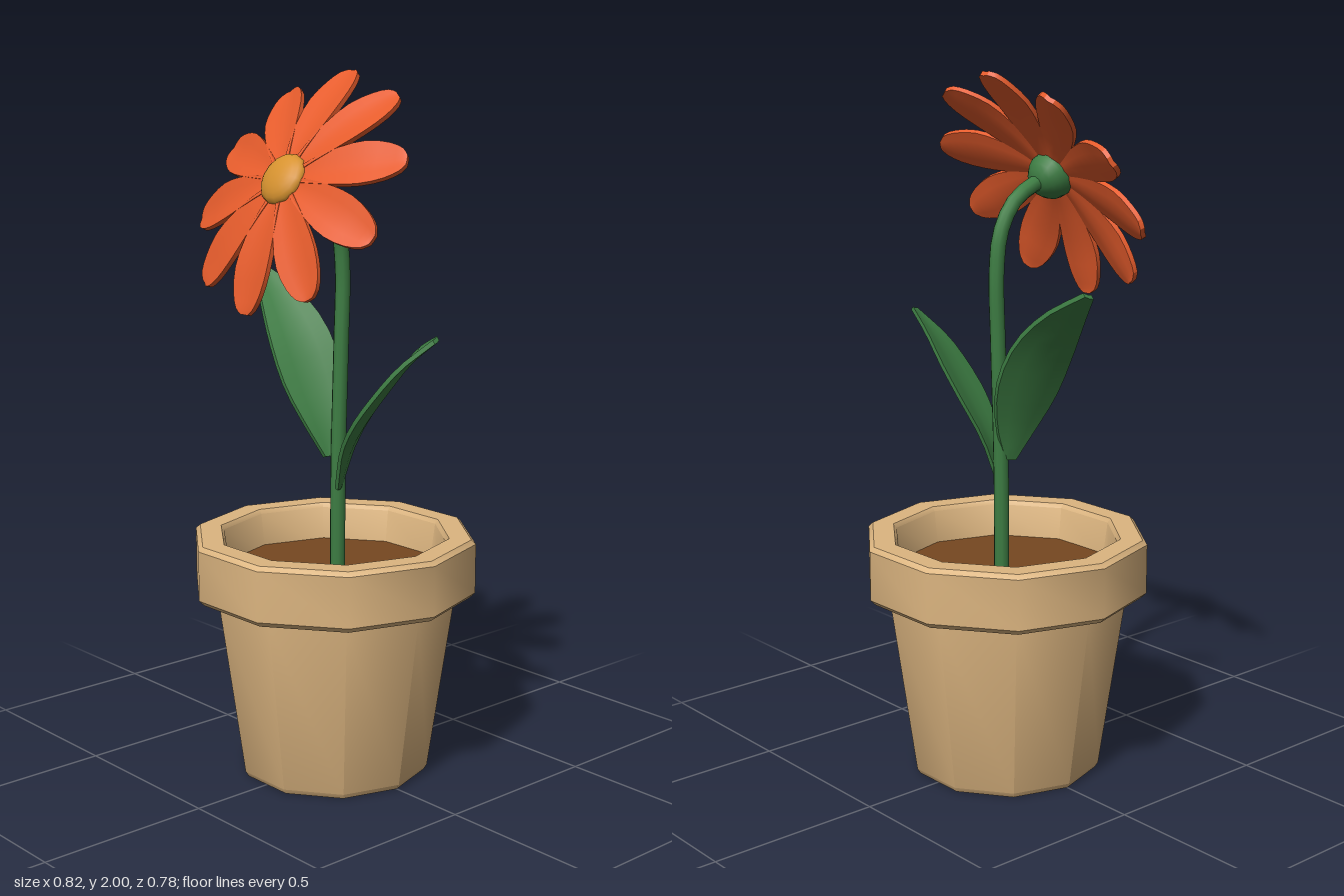
import * as THREE from 'three';
import { toCreasedNormals } from 'three/addons/utils/BufferGeometryUtils.js';

const mat = (name, color) => {
  const m = new THREE.MeshStandardMaterial({ color });
  m.name = name;
  return m;
};

// Folded blade growing along +Y, facing +Z. Each row is [halfWidth, y, z];
// fold lifts both edges, roll lifts one edge and lowers the other.
function bladeGeometry(rows, { fold, roll, thickness, crease }) {
  const steps = 12;
  const curve = new THREE.CatmullRomCurve3(rows.map(r => new THREE.Vector3(...r)));
  const across = [-1, -0.5, 0, 0.5, 1];
  const count = across.length * 2;
  const pos = [], idx = [];
  for (let j = 0; j <= steps; j++) {
    const p = curve.getPoint(j / steps);
    const d = curve.getTangent(j / steps);
    const len = Math.hypot(d.y, d.z) || 1;
    const ny = -d.z / len, nz = d.y / len;
    const add = (u, back) => {
      const lift = p.x * (fold * Math.abs(u) + roll * u) - back;
      pos.push(p.x * u, p.y + ny * lift, p.z + nz * lift);
    };
    across.forEach(u => add(u, 0));
    [...across].reverse().forEach(u => add(u, thickness));
  }
  for (let j = 0; j < steps; j++) {
    for (let i = 0; i < count; i++) {
      const k = (i + 1) % count;
      const a = j * count + i, b = j * count + k;
      idx.push(a, b, b + count, a, b + count, a + count);
    }
  }
  // end caps
  const end = steps * count;
  for (let i = 0; i < across.length - 1; i++) {
    const a = i, b = i + 1, c = count - 2 - i, d = count - 1 - i;
    idx.push(a, c, b, a, d, c);
    idx.push(end + a, end + b, end + c, end + a, end + c, end + d);
  }
  const g = new THREE.BufferGeometry();
  g.setAttribute('position', new THREE.Float32BufferAttribute(pos, 3));
  g.setIndex(idx);
  return toCreasedNormals(g, crease);
}

export function createModel() {
  const clay = mat('clay', 0xdcb580);
  const earth = mat('soil', 0x764820);
  const green = mat('leaf green', 0x3d7d43);
  const orange = mat('petal orange', 0xe65c2c);
  const gold = mat('centre gold', 0xd6922f);

  const model = new THREE.Group();
  model.name = 'pottedFlower';
  const add = (parent, name, geometry, material) => {
    const m = new THREE.Mesh(geometry, material);
    m.name = name;
    parent.add(m);
    return m;
  };

  // Ten-sided pot with a thick rim
  const profile = [
    [0, 0], [0.268, 0], [0.277, 0.015], [0.35, 0.52], [0.35, 0.53],
    [0.395, 0.53], [0.41, 0.545], [0.41, 0.688], [0.397, 0.7],
    [0.334, 0.7], [0.325, 0.688], [0.308, 0.57],
  ].map(p => new THREE.Vector2(...p));
  add(model, 'pot', toCreasedNormals(new THREE.LatheGeometry(profile, 10, Math.PI / 2), 0.66), clay);
  add(model, 'soil', new THREE.CylinderGeometry(0.312, 0.308, 0.03, 10, 1, false, Math.PI / 2), earth)
    .position.y = 0.58;

  // Stem bending forward at the top
  const stemPath = new THREE.CatmullRomCurve3([
    [0, 0.58, -0.015], [0, 0.9, -0.017], [0, 1.25, -0.028], [0, 1.45, -0.033],
    [0, 1.56, -0.018], [0, 1.64, 0.03], [0, 1.682, 0.1], [0, 1.693, 0.145],
  ].map(p => new THREE.Vector3(...p)));
  add(model, 'stem', new THREE.TubeGeometry(stemPath, 28, 0.022, 10), green);

  // Arching leaves, rolled to face forward: the path runs outward along local -Z
  const leaves = [
    ['leftLeaf', 1, [
      [0.014, 0.835, -0.015], [0.05, 0.96, -0.06], [0.08, 1.06, -0.13],
      [0.08, 1.15, -0.207], [0.055, 1.235, -0.286], [0.012, 1.303, -0.375]]],
    ['rightLeaf', -1, [
      [0.014, 0.92, -0.015], [0.05, 1.01, -0.045], [0.08, 1.125, -0.1],
      [0.08, 1.245, -0.17], [0.055, 1.345, -0.255], [0.012, 1.432, -0.358]]],
  ];
  for (const [name, side, rows] of leaves) {
    const shape = { fold: 0.15, roll: -0.4 * side, thickness: 0.013, crease: 0.5 };
    const leaf = add(model, name, bladeGeometry(rows, shape), green);
    leaf.rotation.y = side * (0.07 - Math.PI / 2);
  }

  // Flower head tilted upward
  const flower = new THREE.Group();
  flower.name = 'flowerHead';
  flower.position.set(0, 1.711, 0.18);
  flower.rotation.x = -0.55;
  model.add(flower);

  const petalGeometry = bladeGeometry([
    [0.018, 0.03, 0.002], [0.038, 0.1, -0.002], [0.057, 0.18, -0.014],
    [0.065, 0.255, -0.03], [0.054, 0.32, -0.049], [0.034, 0.36, -0.06], [0.014, 0.373, -0.065],
  ], { fold: 0.14, roll: 0, thickness: 0.014, crease: 0.36 });
  for (let i = 0; i < 10; i++) {
    add(flower, 'petal' + (i + 1), petalGeometry, orange).rotation.z = i * Math.PI / 5;
  }

  // Domed centre in front, green cup behind
  const dome = (name, radius, depth, side, material) => {
    const g = new THREE.SphereGeometry(1, 14, 6, 0, Math.PI * 2, 0, Math.PI / 2);
    g.rotateX(side * Math.PI / 2);
    const m = add(flower, name, g, material);
    m.scale.set(radius, radius, depth);
    return m;
  };
  dome('flowerCentre', 0.076, 0.036, 1, gold);
  dome('flowerCup', 0.07, 0.075, -1, green).position.z = -0.004;

  return model;
}
